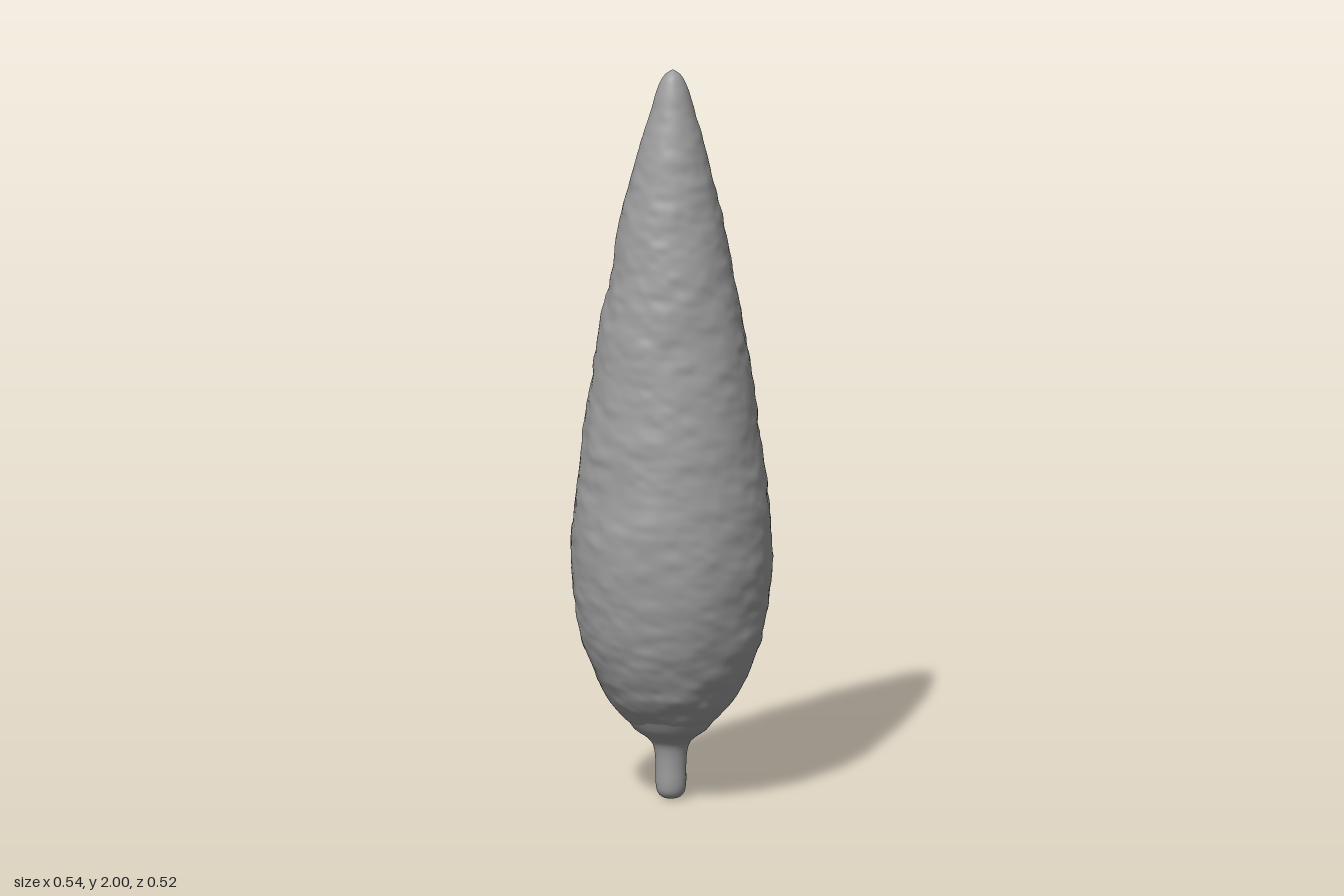
import * as THREE from 'three';
import { mergeVertices } from 'three/addons/utils/BufferGeometryUtils.js';

// Seeded lattice value in 0..1
function hash(x, y, z) {
  let h = (Math.imul(x, 374761393) + Math.imul(y, 668265263) + Math.imul(z, 1274126177)) | 0;
  h = Math.imul(h ^ (h >>> 13), 1103515245);
  return ((h ^ (h >>> 16)) >>> 0) / 4294967296;
}

// Smooth 3D value noise in -1..1
function noise(x, y, z) {
  const [ix, iy, iz] = [x, y, z].map(Math.floor);
  const [u, v, w] = [x - ix, y - iy, z - iz].map((t) => t * t * (3 - 2 * t));
  let sum = 0;
  for (let a = 0; a < 2; a++)
    for (let b = 0; b < 2; b++)
      for (let c = 0; c < 2; c++)
        sum += hash(ix + a, iy + b, iz + c) * (a ? u : 1 - u) * (b ? v : 1 - v) * (c ? w : 1 - w);
  return sum * 2 - 1;
}

// Smooth turned shape from [radius, height] points, with a vertex rule
function turned(name, profile, steps, sides, rule) {
  const curve = new THREE.SplineCurve(profile.map(([r, y]) => new THREE.Vector2(r, y)));
  const points = curve.getSpacedPoints(steps);
  points.forEach((p) => { p.x = Math.max(0, p.x); });
  let geometry = new THREE.LatheGeometry(points, sides);
  geometry.deleteAttribute('uv');
  geometry.deleteAttribute('normal');
  geometry = mergeVertices(geometry, 1e-5); // closes the seam and the poles
  const pos = geometry.attributes.position;
  const p = new THREE.Vector3();
  for (let i = 0; i < pos.count; i++) {
    p.fromBufferAttribute(pos, i);
    rule(p);
    pos.setXYZ(i, p.x, p.y, p.z);
  }
  geometry.computeVertexNormals();
  const mesh = new THREE.Mesh(geometry, new THREE.MeshStandardMaterial({ color: 0x9c9c9c }));
  mesh.name = name;
  return mesh;
}

export function createModel() {
  const group = new THREE.Group();
  group.name = 'cypressTree';

  // Foliage: tall teardrop, slightly oval, with fine flattened ripples
  const foliage = turned('foliage', [
    [0, 0.165], [0.05, 0.175], [0.105, 0.205], [0.15, 0.25], [0.187, 0.305], [0.228, 0.4],
    [0.253, 0.5], [0.267, 0.64], [0.262, 0.8], [0.238, 1.0], [0.209, 1.2], [0.174, 1.4],
    [0.135, 1.6], [0.086, 1.8], [0.062, 1.88], [0.04, 1.95], [0.022, 1.985], [0, 2.0],
  ], 240, 112, (p) => {
    const r = Math.hypot(p.x, p.z);
    const ripple = 0.0032 * noise(p.x * 17, p.y * 30, p.z * 17)
      + 0.0016 * noise(p.x * 38 + 9, p.y * 50, p.z * 38)
      + 0.005 * noise(p.x * 7 + 5, p.y * 7, p.z * 7);
    const k = 1 + ripple / Math.max(r, 0.12);
    p.x *= k;
    p.z = p.z * k * 0.965 + 0.014 * Math.max(0, p.y - 1);
  });

  // Trunk: short rounded stub that flares smoothly into the foliage
  const trunk = turned('trunk', [
    [0, 0], [0.022, 0.004], [0.036, 0.018], [0.041, 0.045], [0.041, 0.09],
    [0.044, 0.13], [0.052, 0.155], [0.071, 0.174], [0.1, 0.195], [0.122, 0.228],
  ], 40, 40, (p) => {
    p.x -= 0.003;
    p.z += 0.005;
  });

  group.add(foliage, trunk);
  return group;
}
